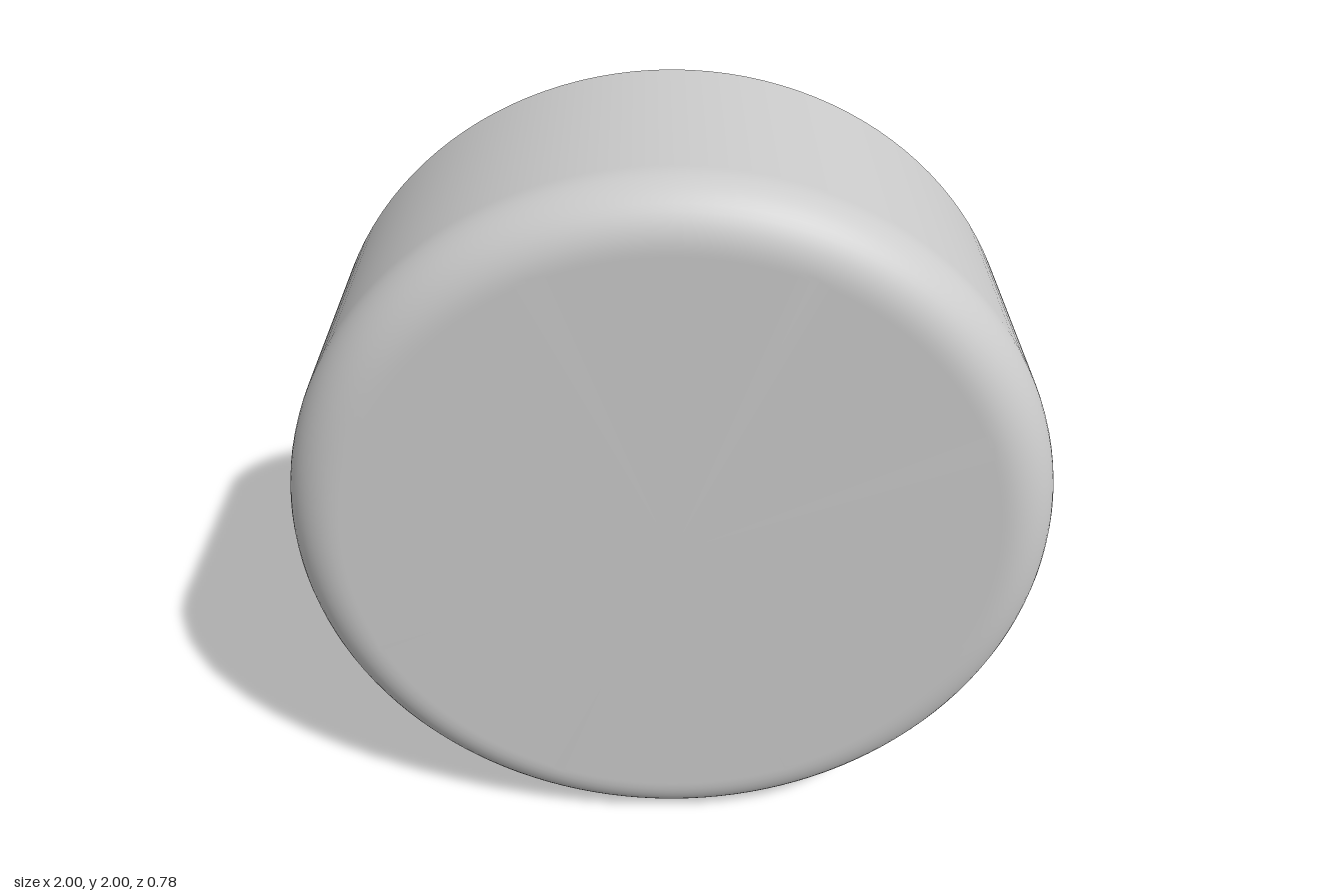
import * as THREE from 'three';
import { toCreasedNormals } from 'three/addons/utils/BufferGeometryUtils.js';

const HALF = 0.388;   // half the depth of the knob
const FLOOR = 0.068;  // z of the floor inside the hollow back
const INNER = 0.905;  // radius of the hollow
const FILLET = 0.145; // rounding of the front edge

const material = new THREE.MeshStandardMaterial({ color: 0xcccccc });

// Hollow cap: one closed profile turned about the axis, front end at +y before rotating
function capGeometry() {
  const profile = [
    [0, FLOOR], [INNER, FLOOR], [INNER, -HALF], [1, -HALF],
    [1, HALF - FILLET - 0.01], // keeps the wall shading straight up to the fillet
  ].map(([r, y]) => new THREE.Vector2(r, y));
  const steps = 12;
  for (let i = 0; i <= steps; i++) {
    const a = (i / steps) * Math.PI / 2;
    profile.push(new THREE.Vector2(
      1 - FILLET + FILLET * Math.cos(a),
      HALF - FILLET + FILLET * Math.sin(a),
    ));
  }
  // A narrow flat ring keeps the front face evenly shaded
  profile.push(new THREE.Vector2(1 - FILLET - 0.01, HALF), new THREE.Vector2(0, HALF));
  const geometry = new THREE.LatheGeometry(profile, 128);
  geometry.rotateX(Math.PI / 2);
  return toCreasedNormals(geometry, 0.5);
}

// Upright tab with slightly softened long edges and a tapered tip level with the rim
function stemGeometry() {
  const w = 0.088, h = 0.212, r = 0.01, inset = 0.048, taper = 0.08;
  const shape = new THREE.Shape();
  shape.absarc(w - r, h - r, r, 0, Math.PI / 2);
  shape.absarc(-w + r, h - r, r, Math.PI / 2, Math.PI);
  shape.absarc(-w + r, -h + r, r, Math.PI, Math.PI * 1.5);
  shape.absarc(w - r, -h + r, r, Math.PI * 1.5, Math.PI * 2);
  shape.closePath();
  const geometry = new THREE.ExtrudeGeometry(shape, {
    depth: 2, steps: 2, bevelEnabled: false, curveSegments: 5,
  });
  // Layers: 0 = tip, 1 = end of the taper, 2 = root sunk slightly into the floor
  const layers = [-HALF, -HALF + taper, FLOOR + 0.01];
  const p = geometry.attributes.position;
  for (let i = 0; i < p.count; i++) {
    const layer = Math.round(p.getZ(i));
    if (layer === 0) {
      p.setX(i, p.getX(i) * (w - inset) / w);
      p.setY(i, p.getY(i) * (h - inset) / h);
    }
    p.setZ(i, layers[layer]);
  }
  return toCreasedNormals(geometry, 0.38);
}

export function createModel() {
  const model = new THREE.Group();
  model.name = 'knob';
  const parts = { cap: capGeometry(), stem: stemGeometry() };
  for (const [name, geometry] of Object.entries(parts)) {
    const mesh = new THREE.Mesh(geometry, material);
    mesh.name = name;
    mesh.position.y = 1;
    model.add(mesh);
  }
  return model;
}
